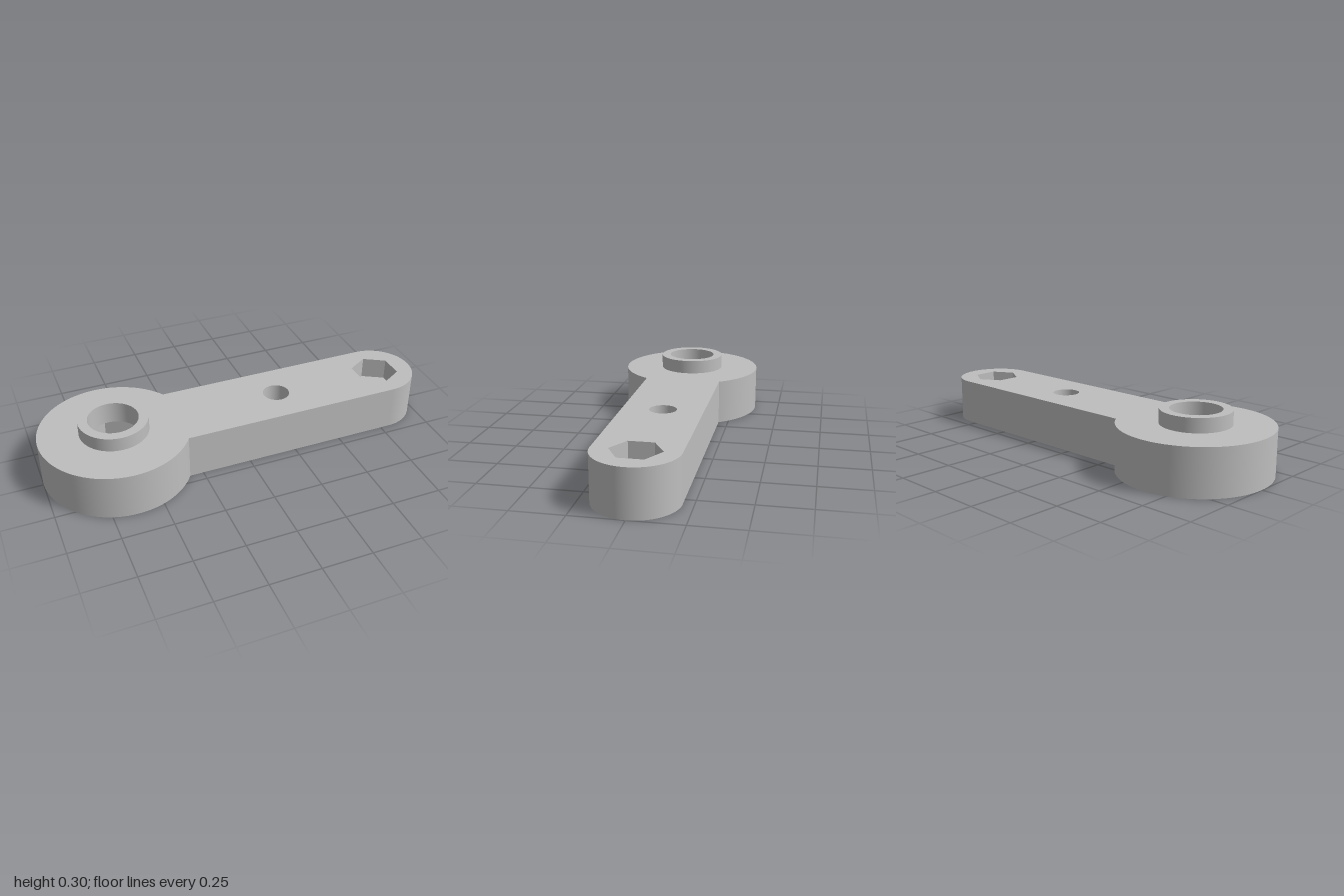
import * as THREE from 'three';

export function createModel() {
  const model = new THREE.Group();
  const grey = new THREE.MeshStandardMaterial({ color: 0xbebebe });
  grey.name = 'grey';

  // main dimensions
  const headX = -0.63, headR = 0.37, midX = 0.225, endX = 0.8, armR = 0.2;
  const plateTop = 0.23, bossTop = 0.3, bossR = 0.17, boreR = 0.123, holeR = 0.067;
  const bigHexR = 0.215, bigHexTop = 0.19, smallHexR = 0.12, smallHexFloor = 0.12;
  const SEG = 72;
  const neck = Math.asin(armR / headR);
  const neckX = headX + headR * Math.cos(neck);

  function add(name, geometry) {
    const mesh = new THREE.Mesh(geometry, grey);
    mesh.name = name;
    model.add(mesh);
    return mesh;
  }

  // upright wall: y0 < y1 faces outward, y0 > y1 faces inward
  function wall(name, x, r, y0, y1, sides = SEG, start = 0, length = Math.PI * 2) {
    const profile = [new THREE.Vector2(r, y0), new THREE.Vector2(r, y1)];
    let g = new THREE.LatheGeometry(profile, sides, start, length);
    if (sides === 6) {
      g = g.toNonIndexed();
      g.computeVertexNormals();
    }
    g.translate(x, 0, 0);
    add(name, g);
  }

  // points on an arc; six sides put corners on the z axis
  function arc(x, r, from = Math.PI / 2, length = Math.PI * 2, n = SEG) {
    const pts = [];
    const count = length < Math.PI * 2 ? n + 1 : n;
    for (let i = 0; i < count; i++) {
      const a = from + (length * i) / n;
      pts.push(new THREE.Vector2(x + r * Math.cos(a), r * Math.sin(a)));
    }
    return pts;
  }
  const hex = (x, r) => arc(x, r, Math.PI / 2, Math.PI * 2, 6);

  // level face with holes
  function face(name, outline, holes, y, up = true) {
    const shape = new THREE.Shape(outline);
    shape.holes = holes.map((h) => new THREE.Path(h));
    const g = new THREE.ShapeGeometry(shape);
    g.rotateX(up ? -Math.PI / 2 : Math.PI / 2);
    g.translate(0, y, 0);
    add(name, g);
  }

  // plate: round head joined to a straight arm with a rounded end
  const outline = [
    ...arc(headX, headR, neck, Math.PI * 2 - 2 * neck),
    ...arc(endX, armR, -Math.PI / 2, Math.PI),
  ];
  face('plateTop', outline, [arc(headX, bossR), arc(midX, holeR), hex(endX, smallHexR)], plateTop);
  face('plateBottom', outline, [hex(headX, bigHexR), arc(midX, holeR), arc(endX, holeR)], 0, false);
  wall('headWall', headX, headR, 0, plateTop, SEG, Math.PI / 2 + neck, Math.PI * 2 - 2 * neck);
  wall('armEndWall', endX, armR, 0, plateTop, SEG, 0, Math.PI);
  for (const s of [1, -1]) {
    const g = new THREE.PlaneGeometry(endX - neckX, plateTop);
    if (s < 0) g.rotateY(Math.PI);
    g.translate((endX + neckX) / 2, plateTop / 2, s * armR);
    add(s > 0 ? 'armFrontWall' : 'armBackWall', g);
  }

  // raised boss with its bore
  wall('bossWall', headX, bossR, plateTop, bossTop);
  face('bossRim', arc(headX, bossR), [arc(headX, boreR)], bossTop);
  wall('bore', headX, boreR, bossTop, bigHexTop);

  // large nut pocket under the head
  wall('largeNutPocket', headX, bigHexR, bigHexTop, 0, 6);
  face('largeNutPocketCeiling', hex(headX, bigHexR), [arc(headX, boreR)], bigHexTop, false);

  // small through hole in the arm
  wall('middleHole', midX, holeR, plateTop, 0);

  // small nut pocket and its hole at the arm end
  wall('smallNutPocket', endX, smallHexR, plateTop, smallHexFloor, 6);
  face('smallNutPocketFloor', hex(endX, smallHexR), [arc(endX, holeR)], smallHexFloor);
  wall('endHole', endX, holeR, smallHexFloor, 0);

  return model;
}
